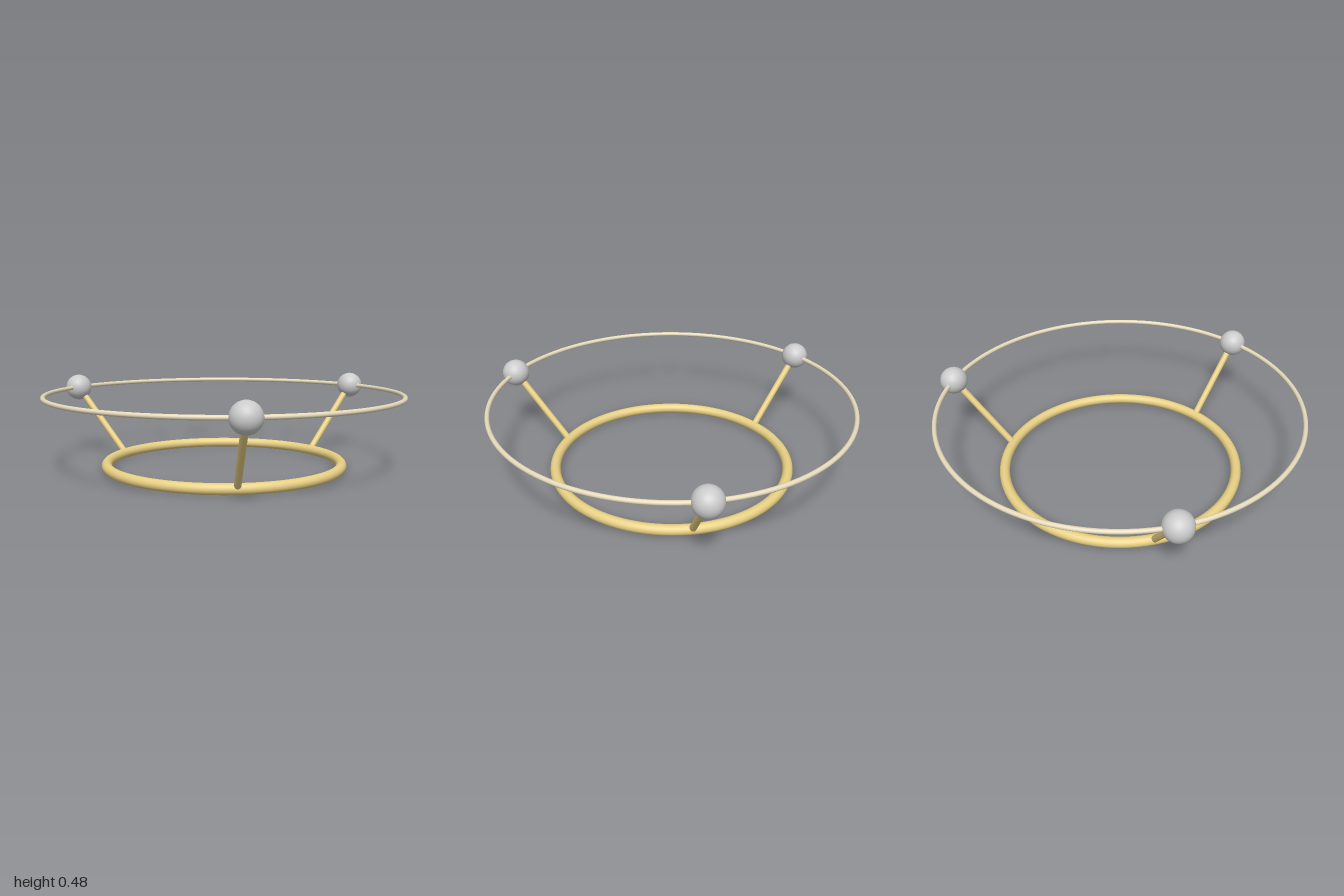
import * as THREE from 'three';

const UPPER_R = 0.957, LOWER_R = 0.638;
const UPPER_Y = 0.405, LOWER_Y = 0.028;

export function createModel() {
  const model = new THREE.Group();
  model.name = 'ringStand';
  const gold = new THREE.MeshStandardMaterial({ color: 0xe8d084 });
  const paleGold = new THREE.MeshStandardMaterial({ color: 0xe6dabb });
  const grey = new THREE.MeshStandardMaterial({ color: 0xcccccc });

  const add = (name, geometry, material) => {
    const mesh = new THREE.Mesh(geometry, material);
    mesh.name = name;
    model.add(mesh);
    return mesh;
  };

  // Horizontal rings
  const addRing = (name, radius, tube, y, material) => {
    const ring = add(name, new THREE.TorusGeometry(radius, tube, 20, 128), material);
    ring.rotation.x = Math.PI / 2;
    ring.position.y = y;
  };
  addRing('baseRing', LOWER_R, 0.028, LOWER_Y, gold);
  addRing('upperRing', UPPER_R, 0.012, UPPER_Y, paleGold);

  // Three sloping struts, each ending in a ball on the upper ring
  ['front', 'backLeft', 'backRight'].forEach((side, i) => {
    const angle = i * Math.PI * 2 / 3;
    const at = (r, y) => new THREE.Vector3(r * Math.sin(angle), y, r * Math.cos(angle));
    const foot = at(LOWER_R, LOWER_Y), top = at(UPPER_R, UPPER_Y);
    const slope = top.clone().sub(foot);

    const strut = add(side + 'Strut', new THREE.CylinderGeometry(0.018, 0.018, slope.length(), 24), gold);
    strut.position.copy(foot).add(top).multiplyScalar(0.5);
    strut.quaternion.setFromUnitVectors(new THREE.Vector3(0, 1, 0), slope.normalize());

    add(side + 'Ball', new THREE.SphereGeometry(0.074, 40, 28), grey).position.copy(top);
  });

  // The front ball reaches past the ring, so the rings sit slightly back
  model.children.forEach((part) => { part.position.z -= 0.031; });
  return model;
}
